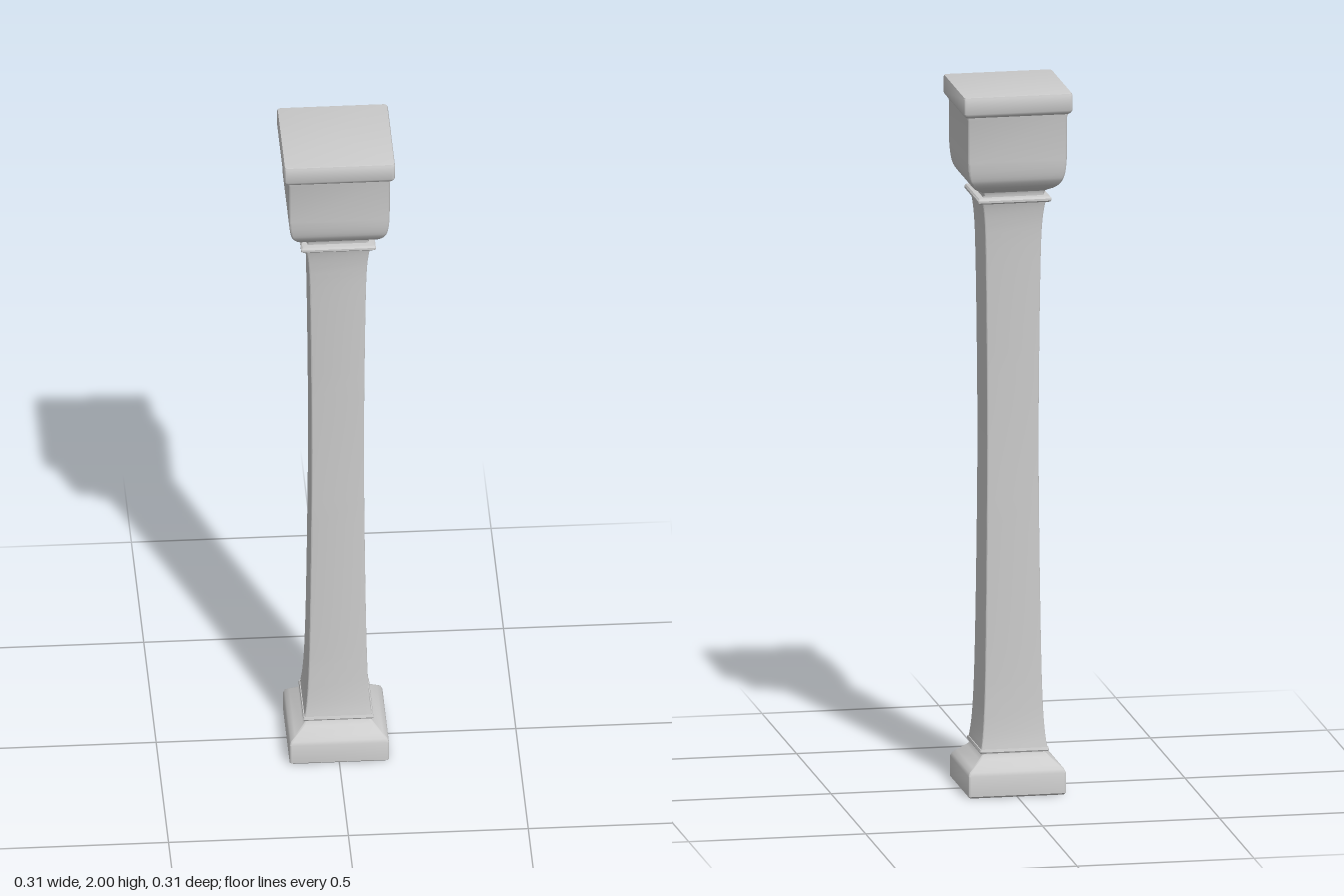
import * as THREE from 'three';
import { toCreasedNormals } from 'three/addons/utils/BufferGeometryUtils.js';

// Rounded square of half-width w at height y
function squareRing(w, y, radius, steps = 3) {
  const r = Math.min(radius, w), ring = [];
  for (let c = 0; c < 4; c++) {
    const mid = (c + 0.5) * Math.PI / 2;
    const cx = Math.sign(Math.cos(mid)) * (w - r), cz = Math.sign(Math.sin(mid)) * (w - r);
    for (let s = 0; s <= steps; s++) {
      const a = (c + s / steps) * Math.PI / 2;
      ring.push([cx + r * Math.cos(a), y, cz + r * Math.sin(a)]);
    }
  }
  return ring;
}

// Sweeps a profile of [half-width, height], bottom to top, round a square
function squareLathe(profile, radius) {
  const rings = profile.map(([w, y]) => squareRing(w, y, radius));
  const pos = [];
  for (let k = 0; k < rings.length - 1; k++) {
    const lo = rings[k], hi = rings[k + 1], n = lo.length;
    for (let i = 0; i < n; i++) {
      const j = (i + 1) % n;
      if (profile[k][0] > 0) pos.push(...lo[i], ...hi[i], ...lo[j]);
      if (profile[k + 1][0] > 0) pos.push(...hi[i], ...hi[j], ...lo[j]);
    }
  }
  const geo = new THREE.BufferGeometry();
  geo.setAttribute('position', new THREE.Float32BufferAttribute(pos, 3));
  return toCreasedNormals(geo, 0.62);
}

// Smooth curve through profile points
function smooth(points, count) {
  const curve = new THREE.SplineCurve(points.map(([w, y]) => new THREE.Vector2(w, y)));
  return curve.getPoints(count).map((p) => [p.x, p.y]);
}

export function createModel() {
  const group = new THREE.Group();
  const material = new THREE.MeshStandardMaterial({ color: 0xcccccc, side: THREE.DoubleSide });
  const add = (name, profile, radius) => {
    const mesh = new THREE.Mesh(squareLathe(profile, radius), material);
    mesh.name = name;
    group.add(mesh);
  };

  // Plinth with a sloping shoulder
  add('base', [
    [0, 0], [0.133, 0], [0.138, 0.005], [0.138, 0.062], [0.134, 0.072],
    [0.122, 0.083], [0.1, 0.102], [0.09, 0.112], [0.088, 0.122],
  ], 0.006);

  // Thin moulding at the foot of the shaft
  add('footRing', [[0.086, 0.117], [0.096, 0.117], [0.098, 0.121], [0.096, 0.128], [0.086, 0.128]], 0.004);

  // Waisted shaft, flaring at both ends
  add('shaft', smooth([
    [0.094, 0.125], [0.088, 0.17], [0.083, 0.25], [0.079, 0.4], [0.075, 0.7], [0.073, 1.0],
    [0.075, 1.3], [0.078, 1.52], [0.081, 1.61], [0.086, 1.66], [0.091, 1.685],
  ], 36), 0.004);

  // Projecting moulding under the capital
  add('neckRing', [
    [0.086, 1.682], [0.1, 1.682], [0.104, 1.686], [0.104, 1.692], [0.1, 1.697], [0.086, 1.699],
  ], 0.004);

  // Neck and bowl-shaped capital
  add('capital', [
    [0.088, 1.69], [0.086, 1.703], [0.089, 1.712],
    ...smooth([[0.095, 1.716], [0.115, 1.728], [0.13, 1.748], [0.137, 1.775], [0.14, 1.81]], 12),
    [0.141, 1.93], [0.143, 1.938], [0.143, 1.95],
  ], 0.006);

  // Square slab on top
  add('abacus', [
    [0.138, 1.938], [0.145, 1.94], [0.151, 1.945], [0.154, 1.952],
    [0.154, 1.994], [0.152, 1.999], [0.149, 2], [0, 2],
  ], 0.009);

  return group;
}
